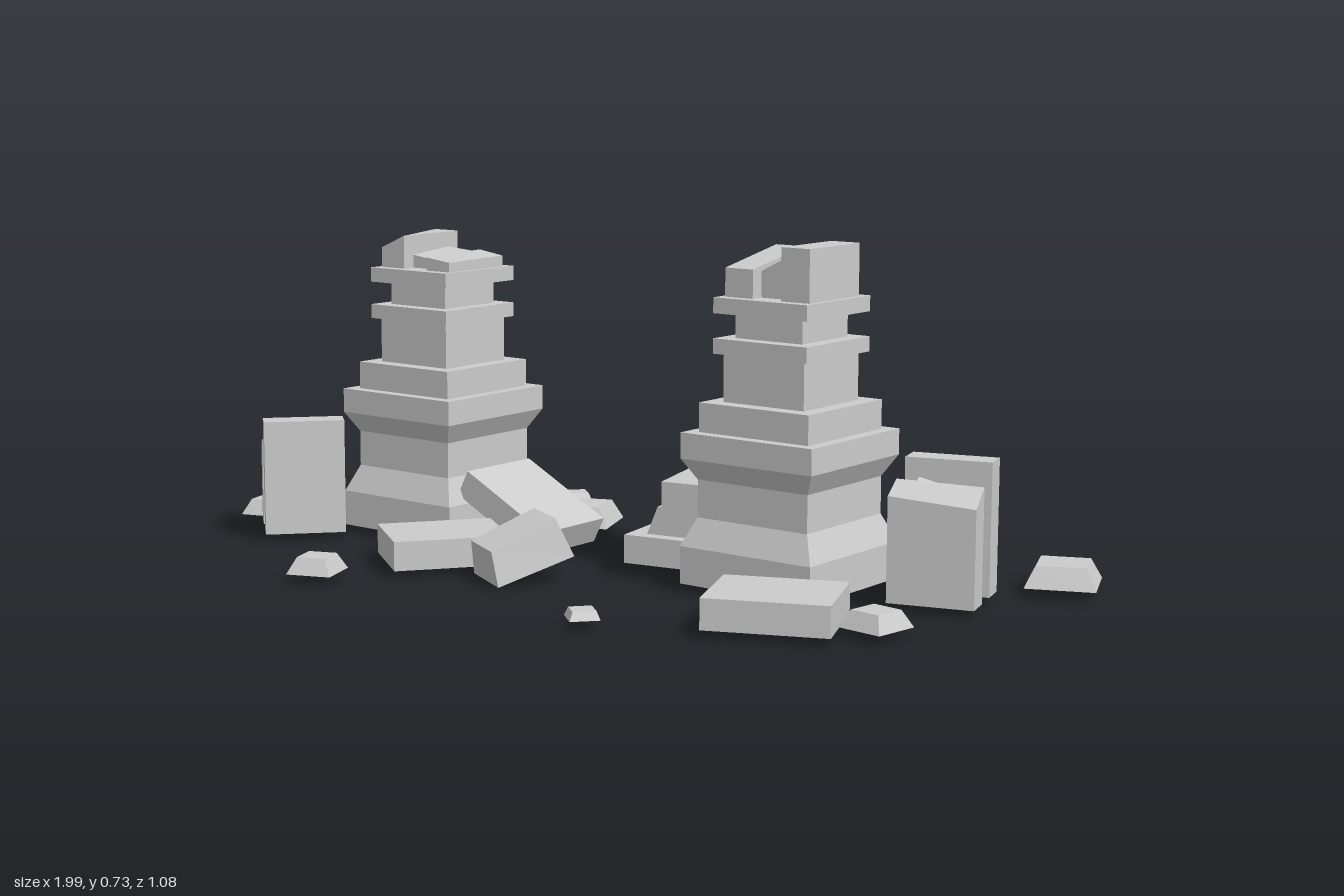
import * as THREE from 'three';

const stone = new THREE.MeshStandardMaterial({ color: 0xcccccc, flatShading: true, side: THREE.DoubleSide });

// Block standing on y = 0 with four top-corner heights, tapered sides and an optional open underside
function blockGeometry(w, d, heights, inset = 0, open = false) {
  const signs = [[-1, -1], [1, -1], [1, 1], [-1, 1]];
  const v = [
    ...signs.map(([x, z]) => [x * w / 2, 0, z * d / 2]),
    ...signs.map(([x, z], i) => [x * (w / 2 - inset), heights[i], z * (d / 2 - inset)]),
  ];
  const quads = [[4, 7, 6, 5]];
  for (let i = 0; i < 4; i++) quads.push([i, 4 + i, 4 + (i + 1) % 4, (i + 1) % 4]);
  if (!open) quads.push([0, 1, 2, 3]);
  const pos = [];
  for (const [a, b, c, e] of quads) for (const k of [a, b, c, a, c, e]) pos.push(...v[k]);
  const g = new THREE.BufferGeometry();
  g.setAttribute('position', new THREE.Float32BufferAttribute(pos, 3));
  g.computeVertexNormals();
  return g;
}

function place(obj, name, [x, y, z], [rx, ry, rz] = [0, 0, 0]) {
  obj.name = name;
  obj.position.set(x, y, z);
  obj.rotation.set(rx, ry, rz, 'YXZ');
  return obj;
}

const mesh = (geometry, name, p, r) => place(new THREE.Mesh(geometry, stone), name, p, r);

// Broken H-shaped stone: two side slabs joined by a narrower core
function brokenStone(name, left, core, right, p, r) {
  const g = new THREE.Group();
  g.add(
    mesh(blockGeometry(0.062, 0.182, left), 'leftSlab', [-0.062, 0, 0]),
    mesh(blockGeometry(0.062, 0.12, core), 'core', [0, 0, 0]),
    mesh(blockGeometry(0.062, 0.182, right), 'rightSlab', [0.062, 0, 0]),
  );
  return place(g, name, p, r);
}

const flat = h => [h, h, h, h];

// Square stepped pillar: [half width, height]
const PROFILE = [
  [0, 0.02], [0.163, 0.02], [0.163, 0.1], [0.137, 0.16], [0.137, 0.24], [0.163, 0.285],
  [0.163, 0.34], [0.136, 0.34], [0.136, 0.402], [0.1, 0.402], [0.1, 0.503], [0.116, 0.503],
  [0.116, 0.535], [0.083, 0.535], [0.083, 0.587], [0.116, 0.587], [0.116, 0.62], [0, 0.62],
];

function pillar(name, x, left, core, right) {
  const g = new THREE.Group();
  const pts = PROFILE.map(([h, y]) => new THREE.Vector2(h * Math.SQRT2, y));
  g.add(mesh(new THREE.LatheGeometry(pts, 4, Math.PI / 4).toNonIndexed(), 'shaft', [0, 0, 0]));
  const top = brokenStone('brokenTop', left, core, right, [0, 0.62, 0]);
  top.scale.x = 1.12;
  g.add(top);
  return place(g, name, [x, 0, -0.093]);
}

export function createModel() {
  const model = new THREE.Group();
  model.name = 'ruinedPillars';

  model.add(
    pillar('rightPillar', -0.537, [0.075, 0.075, 0.075, 0.045], [0.04, 0.035, 0.02, 0.03], [0.035, 0.025, 0.022, 0.03]),
    pillar('leftPillar', 0.437, [0.095, 0.095, 0.06, 0.06], [0.06, 0.09, 0.09, 0.055], [0.11, 0.11, 0.11, 0.11]),
  );

  // Upright and fallen H-shaped fragments
  model.add(
    brokenStone('uprightFragmentRight', [0.235, 0.235, 0.2, 0.18], [0.22, 0.22, 0.2, 0.2], flat(0.26),
      [-0.767, 0.02, 0.14], [0, -0.72, 0]),
    brokenStone('uprightFragmentLeft', flat(0.28), [0.21, 0.22, 0.23, 0.24], [0.24, 0.205, 0.22, 0.245],
      [0.765, 0.02, -0.165], [0, -1.29, 0]),
    brokenStone('fallenFragment', flat(0.24), [0.2, 0.175, 0.175, 0.2], [0.17, 0.17, 0.15, 0.15],
      [0.3, 0.12, -0.12], [0, 0.18, Math.PI / 2]),
  );

  // Flat and leaning slabs
  const slab = (name, w, d, p, r) => model.add(mesh(new THREE.BoxGeometry(w, 0.064, d), name, p, r));
  slab('flatSlabRight', 0.2, 0.255, [-0.286, 0.048, 0.187], [0, -0.63, 0]);
  slab('flatSlabLeft', 0.257, 0.213, [0.617, 0.051, 0.214], [0, 0.41, 0]);
  slab('leaningSlabRight', 0.25, 0.213, [-0.269, 0.091, -0.09], [0, 0, -0.47]);
  slab('leaningSlabBack', 0.23, 0.235, [0.3, 0.109, -0.342], [-0.785, 0.326, 0]);

  // Tumbled block between the pillars
  model.add(mesh(blockGeometry(0.15, 0.18, [0.09, 0.09, 0.075, 0.075], 0.012), 'tumbledBlock',
    [-0.06, 0.032, 0.18], [0.3, -0.5, 0]));

  // Scattered tapered rubble, open underneath: x, z, side, height, taper, yaw
  const rubble = [
    [-0.28, -0.295, 0.148, 0.045, 0.022, 0.4],
    [0.9, -0.427, 0.148, 0.045, 0.022, 0.4],
    [-0.935, 0.085, 0.1, 0.035, 0.018, 0.3],
    [0.8, 0.138, 0.105, 0.035, 0.018, -0.13],
    [-0.393, 0.468, 0.1, 0.035, 0.018, 0.38],
    [0.309, 0.435, 0.062, 0.018, 0.007, -0.7],
    [-0.47, -0.5, 0.062, 0.018, 0.007, -0.7],
  ];
  for (const [x, z, side, h, taper, yaw] of rubble) {
    model.add(mesh(blockGeometry(side, side, flat(h), taper, true), 'rubble', [x, 0.022, z], [0, yaw, 0]));
  }
  return model;
}
